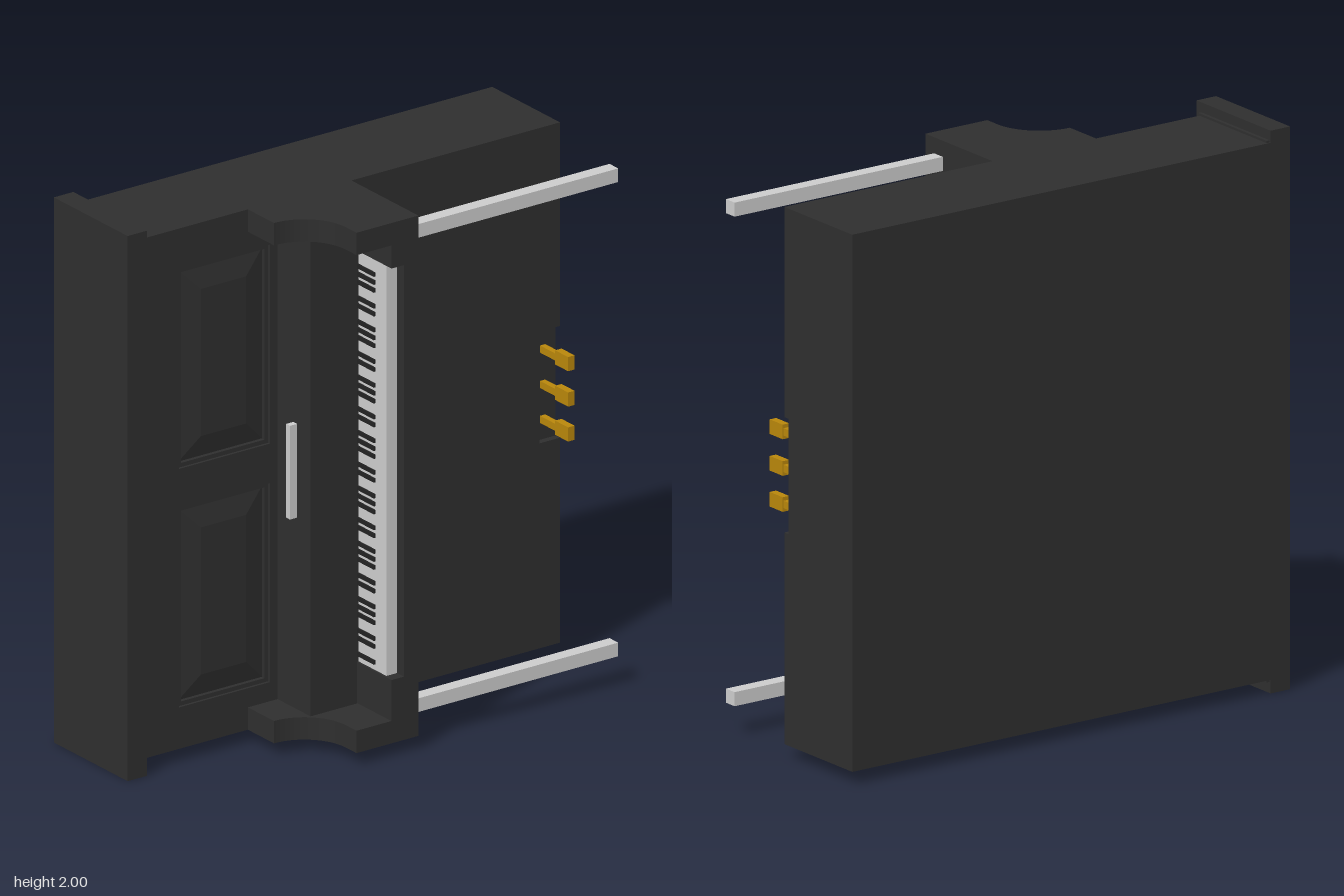
import * as THREE from 'three';

const mat = (color) => new THREE.MeshStandardMaterial({ color, roughness: 0.8 });

export function createModel() {
  const piano = new THREE.Group();
  piano.name = 'uprightPianoOnItsSide';
  const wood = mat(0x2e2e2e), ebony = mat(0x222222), grey = mat(0xcccccc), brass = mat(0xb8860b);

  const add = (name, geo, material) => {
    const mesh = new THREE.Mesh(geo, material);
    mesh.name = name;
    piano.add(mesh);
    return mesh;
  };
  // Box given by its limits on each axis
  const box = (name, material, x0, x1, y0, y1, z0, z1) => {
    const geo = new THREE.BoxGeometry(x1 - x0, y1 - y0, z1 - z0);
    geo.translate((x0 + x1) / 2, (y0 + y1) / 2, (z0 + z1) / 2);
    return add(name, geo, material);
  };
  // Closed rectangle in the (-z, y) plane
  const rect = (Type, z0, z1, y0, y1) => {
    const r = new Type();
    r.moveTo(-z1, y0).lineTo(-z0, y0).lineTo(-z0, y1).lineTo(-z1, y1).closePath();
    return r;
  };
  // Extrude a (-z, y) shape along x, from x0 to x1
  const slab = (name, shape, x0, x1) => {
    const geo = new THREE.ExtrudeGeometry(shape, { depth: x1 - x0, bevelEnabled: false });
    geo.rotateY(Math.PI / 2).translate(x0, 0, 0);
    return add(name, geo, wood);
  };

  const Y0 = 0.048, Y1 = 1.957, DEPTH = 0.025;
  const panels = [[0.2, 0.93], [1.075, 1.805]];
  const PZ0 = 0.298, PZ1 = 0.678;

  // Case, with a front skin cut out for the door panels and the pedal recess
  box('caseBody', wood, -0.39, -DEPTH, Y0, Y1, -0.92, 0.84);
  const skin = new THREE.Shape();
  skin.moveTo(-0.84, Y0).lineTo(0.92, Y0).lineTo(0.92, 0.8).lineTo(0.835, 0.8)
    .lineTo(0.835, 1.21).lineTo(0.92, 1.21).lineTo(0.92, Y1).lineTo(-0.84, Y1).closePath();
  for (const [a, b] of panels) skin.holes.push(rect(THREE.Path, PZ0, PZ1, a, b));
  slab('caseFront', skin, -DEPTH, 0);

  // Door panels: stepped trim around a raised field with sloping sides
  for (const [a, b] of panels) {
    const trim = rect(THREE.Shape, PZ0, PZ1, a, b);
    trim.holes.push(rect(THREE.Path, PZ0 + 0.015, PZ1 - 0.015, a + 0.015, b - 0.015));
    slab('panelTrim', trim, -DEPTH, -0.01);
    const w = PZ1 - PZ0 - 0.03, h = b - a - 0.03;
    const field = new THREE.BoxGeometry(0.019, h, w);
    const p = field.attributes.position;
    for (let i = 0; i < p.count; i++) {
      if (p.getX(i) < 0) continue;
      p.setY(i, p.getY(i) * (h - 0.16) / h);
      p.setZ(i, p.getZ(i) * (w - 0.16) / w);
    }
    field.computeVertexNormals();
    add('panelField', field, wood).position.set(-DEPTH + 0.0095, (a + b) / 2, (PZ0 + PZ1) / 2);
  }

  // Lid and the moulding beneath it
  box('lid', wood, -0.39, 0.035, 0, 2, 0.838, 0.92);
  box('lidMoulding', wood, -0.385, 0.007, 0.04, 1.965, 0.825, 0.84);

  // Cheeks with a concave scoop at each end of the keyboard
  const cheek = new THREE.Shape();
  cheek.moveTo(0, -0.045).lineTo(0.385, -0.045).lineTo(0.385, 0.215).lineTo(0.325, 0.215);
  cheek.absarc(0.325, 0.39, 0.175, -Math.PI / 2, -Math.PI, true);
  cheek.lineTo(0, 0.39).closePath();
  for (const top of [0.13, Y1]) {
    const geo = new THREE.ExtrudeGeometry(cheek, { depth: 0.082, bevelEnabled: false, curveSegments: 16 });
    geo.rotateX(Math.PI / 2).translate(0, top, 0);
    add('cheek', geo, wood);
  }

  // Keybed, key blocks, fallboard and music rest
  box('keybed', wood, 0, 0.385, 0.13, 1.877, -0.045, 0.015);
  box('keyBlock', wood, 0.18, 0.385, 0.13, 0.28, 0.015, 0.068);
  box('keyBlock', wood, 0.18, 0.385, 1.79, 1.877, 0.015, 0.068);
  box('keyBack', wood, 0, 0.185, 0.13, 1.877, 0.015, 0.07);
  box('fallboard', wood, 0, 0.19, 0.13, 1.877, 0.07, 0.265);
  box('musicRest', grey, 0.09, 0.112, 0.833, 1.177, 0.265, 0.295);

  // Keys: 52 naturals as one slab, 36 sharps in their octave pattern
  box('whiteKeys', grey, 0.18, 0.345, 0.28, 1.79, 0.015, 0.06);
  const pitch = (1.79 - 0.28) / 52;
  for (let i = 0; i < 51; i++) {
    if (i % 7 === 1 || i % 7 === 4) continue;
    const y = 0.28 + (i + 1) * pitch;
    box('blackKey', ebony, 0.18, 0.282, y - 0.0075, y + 0.0075, 0.055, 0.067);
  }

  // Straight legs under the keybed
  for (const y of [0.135, 1.875]) box('frontLeg', grey, 0.285, 0.335, y - 0.025, y + 0.025, -0.92, -0.045);

  // Pedals: narrow shank and wide foot
  for (const y of [0.875, 1.003, 1.133]) {
    box('pedalShank', brass, -DEPTH, 0.065, y - 0.013, y + 0.013, -0.876, -0.854);
    box('pedalFoot', brass, 0.065, 0.14, y - 0.026, y + 0.026, -0.879, -0.852);
  }
  return piano;
}
